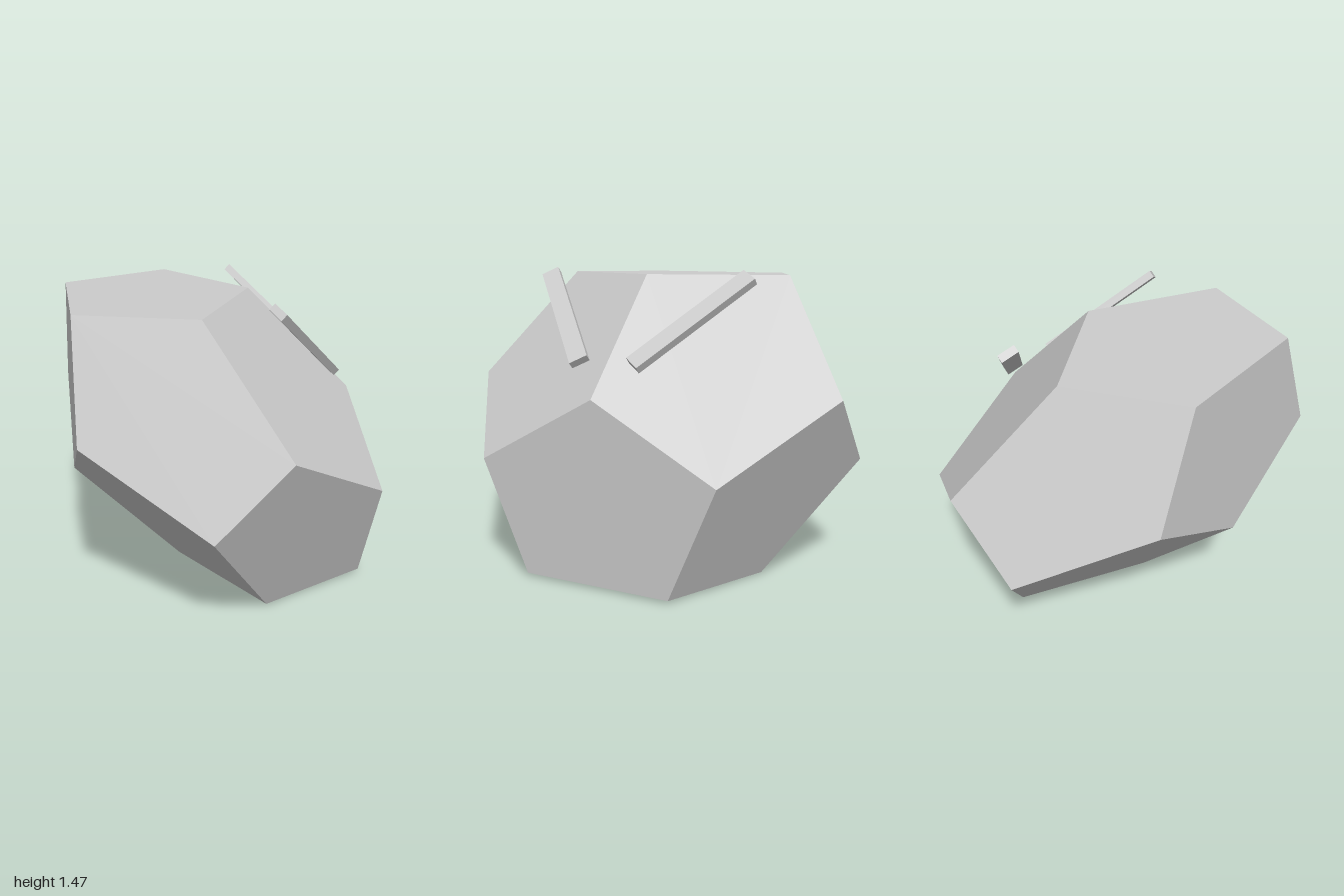
import * as THREE from 'three';

export function createModel() {
  const material = new THREE.MeshStandardMaterial({ color: 0xcccccc, flatShading: true });
  const model = new THREE.Group();
  model.name = 'model';

  // Everything is laid out upright, then tipped 45 degrees sideways
  const tilted = new THREE.Group();
  tilted.name = 'tiltedAssembly';
  tilted.rotation.z = -Math.PI / 4;
  tilted.position.y = 0.723;
  model.add(tilted);

  // Squashed dodecahedron body; this radius puts its end edges at z = +-1
  const phi = (1 + Math.sqrt(5)) / 2;
  const bodyGeometry = new THREE.DodecahedronGeometry(Math.sqrt(3) / phi);
  bodyGeometry.scale(1, 0.64, 1);
  bodyGeometry.computeVertexNormals();
  const body = new THREE.Mesh(bodyGeometry, material);
  body.name = 'body';
  tilted.add(body);

  // Mirrored pair of slanted bars over the ridge
  for (const side of [1, -1]) {
    const bar = new THREE.Mesh(new THREE.BoxGeometry(0.685, 0.038, 0.09), material);
    bar.name = side > 0 ? 'frontBar' : 'backBar';
    bar.position.set(-0.094, 0.648, side * 0.345);
    bar.rotation.y = side * THREE.MathUtils.degToRad(36.5);
    tilted.add(bar);
  }

  return model;
}
